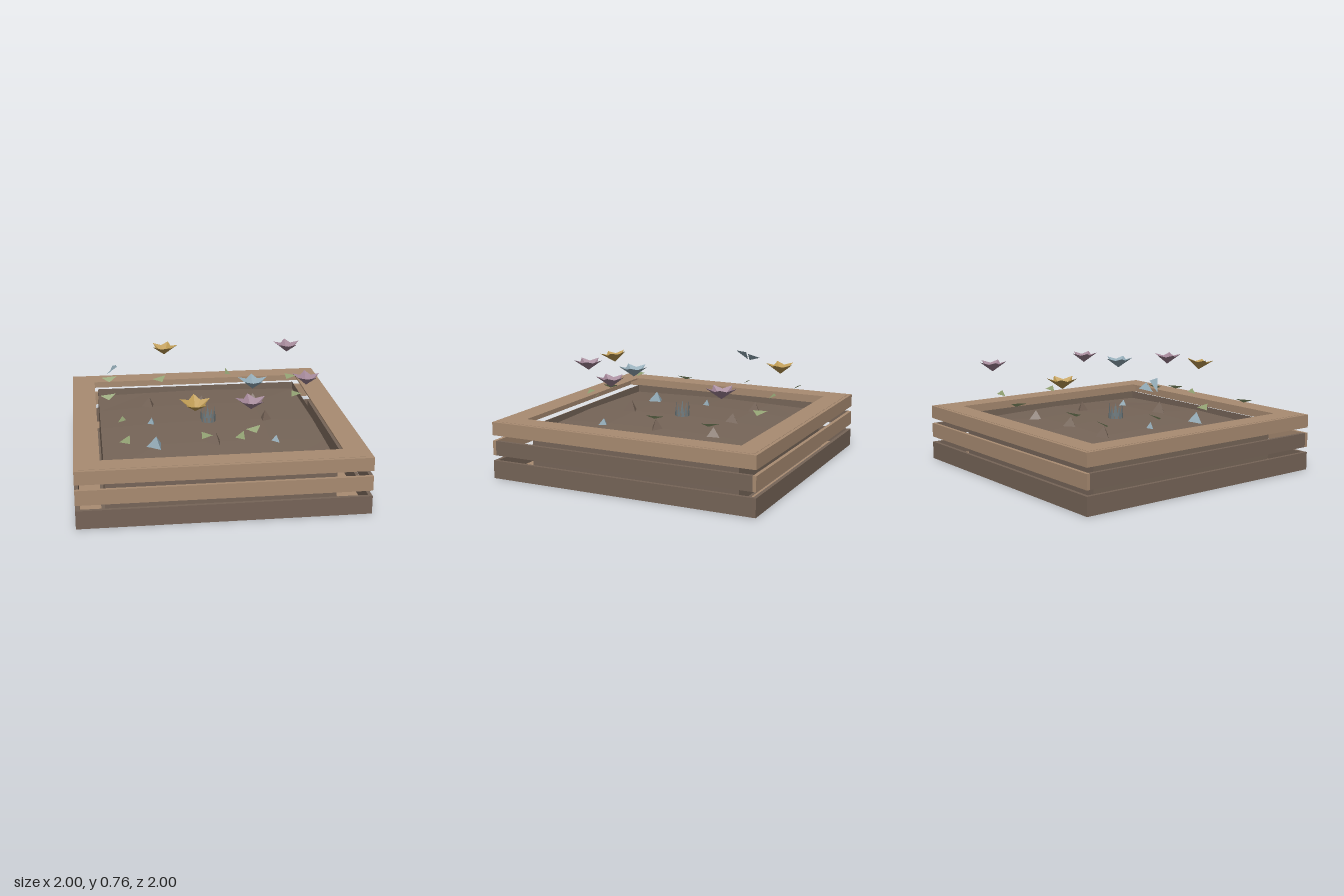
import * as THREE from 'three';

const mat = (name, color, open = false) => {
  const m = new THREE.MeshStandardMaterial({ color, flatShading: true });
  m.name = name;
  if (open) m.side = THREE.DoubleSide;
  return m;
};

// Faceted geometry from a list of corner points, three per triangle
function facets(points) {
  const g = new THREE.BufferGeometry();
  g.setAttribute('position', new THREE.Float32BufferAttribute(points.flat(), 3));
  g.computeVertexNormals();
  return g;
}

// Flat square ring lying in the ground plane, its underside at y = 0
function squareRing(outer, inner, thickness) {
  const square = (Type, r) => new Type([[-r, -r], [r, -r], [r, r], [-r, r]].map((c) => new THREE.Vector2(...c)));
  const shape = square(THREE.Shape, outer);
  shape.holes.push(square(THREE.Path, inner));
  return new THREE.ExtrudeGeometry(shape, { depth: thickness, bevelEnabled: false }).rotateX(-Math.PI / 2);
}

// Height of the gently mounded soil
const soilHeight = (x, z) => 0.352 - 0.05 * Math.min(1, x * x + z * z);

export function createModel() {
  const model = new THREE.Group();
  const lightWood = mat('light wood', 0xa88b71);
  const darkWood = mat('dark wood', 0x766457);
  const soil = mat('soil', 0x766558, true);
  const gold = mat('gold petal', 0xbd9a52, true);
  const purple = mat('purple petal', 0x9f8394, true);
  const blue = mat('blue petal', 0x90a8b4, true);
  const green = mat('leaf green', 0x92a273, true);
  const slate = mat('slate', 0x707c80, true);

  function add(parent, name, geometry, material, x = 0, y = 0, z = 0) {
    const m = new THREE.Mesh(geometry, material);
    m.name = name;
    m.position.set(x, y, z);
    parent.add(m);
    return m;
  }

  // Thin boards: three tiers on each of the four sides
  const thick = 0.025;
  const tiers = [
    { name: 'baseBoard', y0: 0, y1: 0.13, front: darkWood, side: darkWood },
    { name: 'middleBoard', y0: 0.17, y1: 0.275, front: lightWood, side: darkWood },
    { name: 'topBoard', y0: 0.315, y1: 0.41, front: lightWood, side: lightWood },
  ];
  for (const t of tiers) {
    const h = t.y1 - t.y0, y = (t.y0 + t.y1) / 2, d = 1 - thick / 2;
    for (const s of [1, -1]) {
      add(model, t.name, new THREE.BoxGeometry(2, h, thick), t.front, 0, y, s * d);
      add(model, t.name, new THREE.BoxGeometry(thick, h, 2 - 2 * thick), t.side, s * d, y, 0);
    }
  }

  // Rim on top, ledge and panel at the bottom
  add(model, 'topRim', squareRing(0.975, 0.825, 0.012), lightWood, 0, 0.4, 0);
  add(model, 'bottomLedge', squareRing(0.99, 0.825, 0.015), lightWood);
  add(model, 'floorPanel', new THREE.BoxGeometry(1.65, 0.01, 1.65), soil, 0, 0.008, 0);

  // Liner walls
  for (let k = 0; k < 4; k++) {
    const wall = new THREE.Group();
    wall.name = 'linerWall';
    wall.rotation.y = k * Math.PI / 2;
    add(wall, 'linerPanel', new THREE.PlaneGeometry(1.6, 0.35), soil, 0, 0.185, 0.8);
    model.add(wall);
  }

  // Mounded soil
  const bed = new THREE.PlaneGeometry(1.6, 1.6, 4, 4).rotateX(-Math.PI / 2);
  const p = bed.attributes.position;
  for (let i = 0; i < p.count; i++) p.setY(i, soilHeight(p.getX(i), p.getZ(i)));
  add(model, 'soilBed', bed, soil);

  // Three-sided stones: x, z, radius, height, turn, material
  const stones = [
    [-0.41, -0.42, 0.06, 0.08, 0.4, darkWood], [0, -0.41, 0.06, 0.07, 0.5, darkWood],
    [0.41, -0.44, 0.055, 0.07, 0.8, darkWood], [-0.42, -0.01, 0.035, 0.05, 0.4, blue],
    [0.43, 0, 0.05, 0.08, 1.57, darkWood], [-0.42, 0.43, 0.07, 0.08, 0.4, blue],
    [0, 0.43, 0.065, 0.09, 0.4, darkWood], [0.44, 0.42, 0.04, 0.05, 0.5, blue],
  ];
  for (const [x, z, r, h, turn, m] of stones)
    add(model, 'stone', new THREE.ConeGeometry(r, h, 3), m, x, soilHeight(x, z) - 0.005 + h / 2, z).rotation.y = turn;

  // Ring of sprouts in the middle
  for (let i = 0; i < 12; i++) {
    const a = i * Math.PI / 6, h = 0.08 + 0.025 * (i % 2);
    const at = (t, y) => [0.055 * Math.cos(t), y, 0.055 * Math.sin(t)];
    add(model, 'sprout', facets([at(a - 0.24, 0.345), at(a + 0.24, 0.345), at(a + 0.1, 0.355 + h)]), slate);
  }

  // Cupped star flowers: x, z, radius, turn, tilt, material
  const flowers = [
    [-0.27, -0.67, 0.108, -1.2, 0, gold], [-0.17, 0.67, 0.108, -1.57, 0.12, gold],
    [0.71, -0.63, 0.108, -1.57, 0, purple], [0.69, 0.21, 0.105, -1.5, 0, purple],
    [0.21, 0.68, 0.11, -1.65, 0, purple], [0.29, 0.25, 0.11, -1.5, 0, blue],
  ];
  for (const [x, z, r, turn, tilt, m] of flowers) {
    const rim = (i) => {
      const a = turn + i * Math.PI / 5, tip = i % 2 === 0, d = tip ? r : r * 0.62;
      return [d * Math.cos(a), tip ? 0.077 : 0.058, d * Math.sin(a)];
    };
    const pts = [];
    for (let i = 0; i < 10; i++) pts.push([0, 0, 0], rim(i + 1), rim(i));
    add(model, 'flower', facets(pts), m, x, 0.675, z).rotation.x = tilt;
  }

  // Loose petals
  add(model, 'loosePetal', facets([[-0.69, 0.7, -0.34], [-0.72, 0.67, -0.24], [-0.66, 0.73, -0.25]]), blue);
  add(model, 'loosePetal', facets([[-0.74, 0.67, -0.22], [-0.66, 0.75, -0.15], [-0.67, 0.74, -0.23]]), blue);

  // Small hovering leaves: x, z, turn
  const leaves = [
    [-0.71, -0.65, 0], [-0.31, -0.6, 0.5], [0.24, -0.71, 1.4], [0.72, -0.55, -0.9],
    [0.68, -0.12, -1.1], [-0.73, -0.22, 0.1], [-0.65, 0.29, -1.4], [-0.64, 0.7, 0.9],
    [-0.1, 0.67, -1], [0.14, 0.71, 0.9], [0.25, 0.59, 0.4],
  ];
  for (const [x, z, turn] of leaves)
    add(model, 'leaf', facets([[-0.06, 0.005, -0.015], [0, -0.02, 0.03], [0.06, 0.015, -0.015]]),
      green, x, 0.495, z).rotation.y = turn;

  return model;
}
